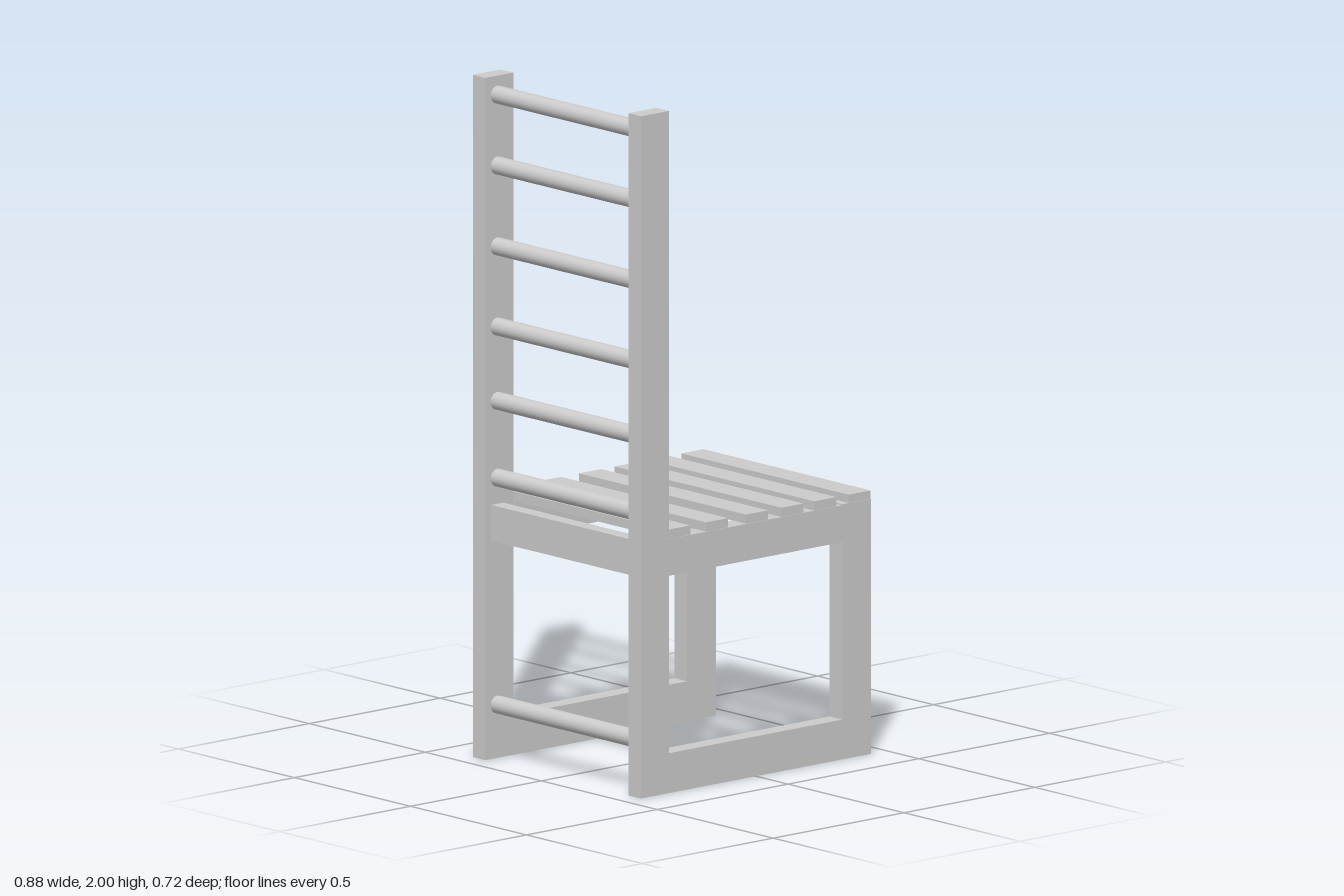
import * as THREE from 'three';

export function createModel() {
  const chair = new THREE.Group();
  chair.name = 'chair';
  const material = new THREE.MeshStandardMaterial({ color: 0xcccccc });

  // Box given by its limits on each axis
  function board(name, [x0, x1], [y0, y1], [z0, z1]) {
    const mesh = new THREE.Mesh(new THREE.BoxGeometry(x1 - x0, y1 - y0, z1 - z0), material);
    mesh.position.set((x0 + x1) / 2, (y0 + y1) / 2, (z0 + z1) / 2);
    mesh.name = name;
    chair.add(mesh);
  }

  // Side frames: tall back post, front leg, seat rail and floor rail
  for (const [side, s] of [['left', -1], ['right', 1]]) {
    const span = (inner) => (s > 0 ? [inner, 0.362] : [-0.362, -inner]);
    board(side + 'BackPost', [-0.44, -0.333], [0, 2], span(0.308));
    board(side + 'FrontLeg', [0.33, 0.44], [0, 0.748], span(0.307));
    board(side + 'SeatRail', [-0.333, 0.33], [0.637, 0.745], span(0.302));
    board(side + 'FloorRail', [-0.333, 0.33], [0, 0.117], span(0.307));
  }

  // Aprons joining the frames under the seat
  board('frontApron', [0.39, 0.44], [0.64, 0.748], [-0.308, 0.308]);
  board('backApron', [-0.418, -0.372], [0.64, 0.745], [-0.308, 0.308]);

  // Seat slats
  for (const x of [-0.291, -0.147, 0.006, 0.141, 0.267, 0.398]) {
    board('seatSlat', [x - 0.042, x + 0.042], [0.745, 0.772], [-0.36, 0.36]);
  }

  // Round rungs of the back, plus the low stretcher
  const rungGeometry = new THREE.CylinderGeometry(0.026, 0.026, 0.62, 32).rotateX(Math.PI / 2);
  for (const y of [0.157, 0.822, 1.047, 1.265, 1.5, 1.737, 1.945]) {
    const rung = new THREE.Mesh(rungGeometry, material);
    rung.position.set(-0.394, y, 0);
    rung.name = y < 0.5 ? 'lowStretcher' : 'backRung';
    chair.add(rung);
  }

  return chair;
}
